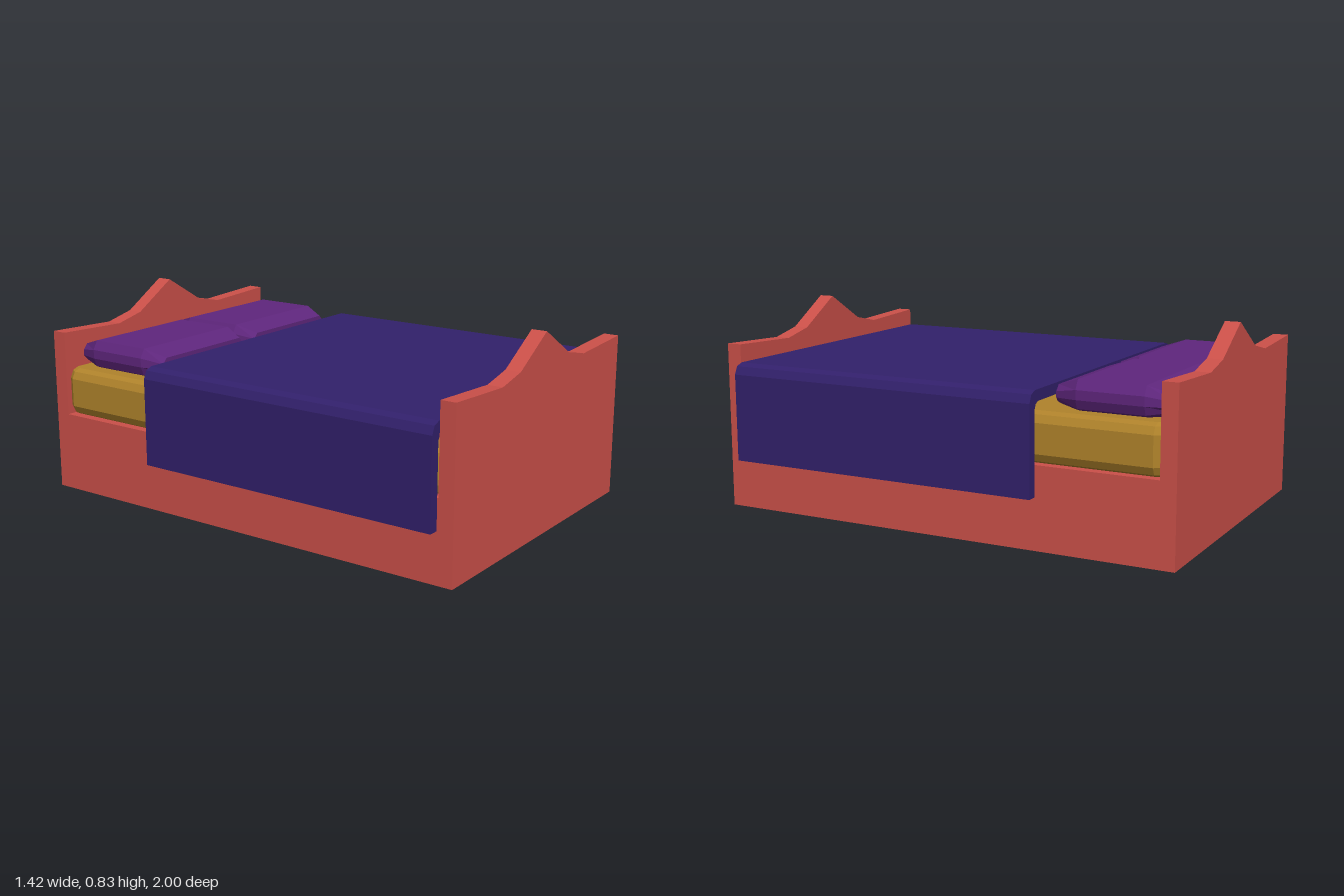
import * as THREE from 'three';

const material = (color) => new THREE.MeshStandardMaterial({ color, flatShading: true });

function addMesh(parent, name, geometry, mat) {
  const mesh = new THREE.Mesh(geometry, mat);
  mesh.name = name;
  parent.add(mesh);
  return mesh;
}

// Right half of an outline (ordered bottom to top), mirrored to a closed counter-clockwise loop
const mirrored = (half) => [...half, ...half.map(([x, y]) => [-x, y]).reverse()];

function extrude(points, z0, z1) {
  const shape = new THREE.Shape(points.map(([x, y]) => new THREE.Vector2(x, y)));
  return new THREE.ExtrudeGeometry(shape, { depth: z1 - z0, bevelEnabled: false }).translate(0, 0, z0);
}

// Closed solid through equal-sized loops running along +z
function loft(sections) {
  const n = sections[0].points.length;
  const positions = [];
  const index = [];
  for (const { z, points } of sections) for (const [x, y] of points) positions.push(x, y, z);
  for (let s = 0; s < sections.length - 1; s++) {
    for (let i = 0; i < n; i++) {
      const a = s * n + i, b = s * n + (i + 1) % n;
      index.push(a, b, b + n, a, b + n, a + n);
    }
  }
  const last = (sections.length - 1) * n;
  for (let i = 1; i < n - 1; i++) index.push(0, i + 1, i, last, last + i, last + i + 1);
  const geometry = new THREE.BufferGeometry();
  geometry.setAttribute('position', new THREE.Float32BufferAttribute(positions, 3));
  geometry.setIndex(index);
  const flat = geometry.toNonIndexed();
  flat.computeVertexNormals();
  return flat;
}

export function createModel() {
  const bed = new THREE.Group();
  bed.name = 'bed';
  const wood = material(0xcb5049);
  const cloth = material(0x32206b);
  const pillowCloth = material(0x5f267d);
  const ticking = material(0xb0832b);

  // Solid base between the end boards
  const base = addMesh(bed, 'base', new THREE.BoxGeometry(1.33, 0.335, 1.87), wood);
  base.position.y = 0.1675;

  // Matching end boards with a pointed crest
  const crest = [[0.665, 0.695], [0.335, 0.68], [0.2, 0.71], [0, 0.83],
    [-0.2, 0.71], [-0.335, 0.68], [-0.665, 0.695]];
  const board = [[-0.665, 0], [0.665, 0], ...crest];
  addMesh(bed, 'footboard', extrude(board, 0.935, 1), wood);
  addMesh(bed, 'headboard', extrude(board, -1, -0.935), wood);

  // Mattress with softened long edges and corners
  const mattressLoop = (inset) => mirrored([[0.625, 0.335], [0.645, 0.345], [0.66, 0.375],
    [0.66, 0.495], [0.645, 0.525], [0.615, 0.535]].map(([x, y]) => [x - inset, y]));
  addMesh(bed, 'mattress', loft([
    { z: -0.935, points: mattressLoop(0.02) },
    { z: -0.905, points: mattressLoop(0) },
    { z: 0.905, points: mattressLoop(0) },
    { z: 0.935, points: mattressLoop(0.02) },
  ]), ticking);

  // Blanket folded down over both sides
  const outer = [[0.71, 0.21], [0.71, 0.575], [0.695, 0.608], [0.665, 0.62]];
  const inner = [[0.668, 0.21], [0.668, 0.545], [0.66, 0.565], [0.64, 0.575]];
  const blanket = [...mirrored(outer), ...mirrored(inner).reverse()];
  addMesh(bed, 'blanket', extrude(blanket, -0.435, 0.932), cloth);

  // Two plump pillows, narrower and thinner at head and foot
  const pillowLoop = (w, y0, y1) => mirrored([[w - 0.05, y0], [w - 0.015, y0 + 0.015],
    [w, y0 + (y1 - y0) * 0.4], [w, y0 + (y1 - y0) * 0.7], [w - 0.022, y1]]);
  const pillow = loft([
    { z: -0.937, points: pillowLoop(0.258, 0.545, 0.625) },
    { z: -0.84, points: pillowLoop(0.292, 0.53, 0.657) },
    { z: -0.565, points: pillowLoop(0.292, 0.53, 0.657) },
    { z: -0.47, points: pillowLoop(0.258, 0.545, 0.625) },
  ]);
  for (const [name, side] of [['leftPillow', 1], ['rightPillow', -1]]) {
    addMesh(bed, name, pillow, pillowCloth).position.x = side * 0.299;
  }
  return bed;
}
